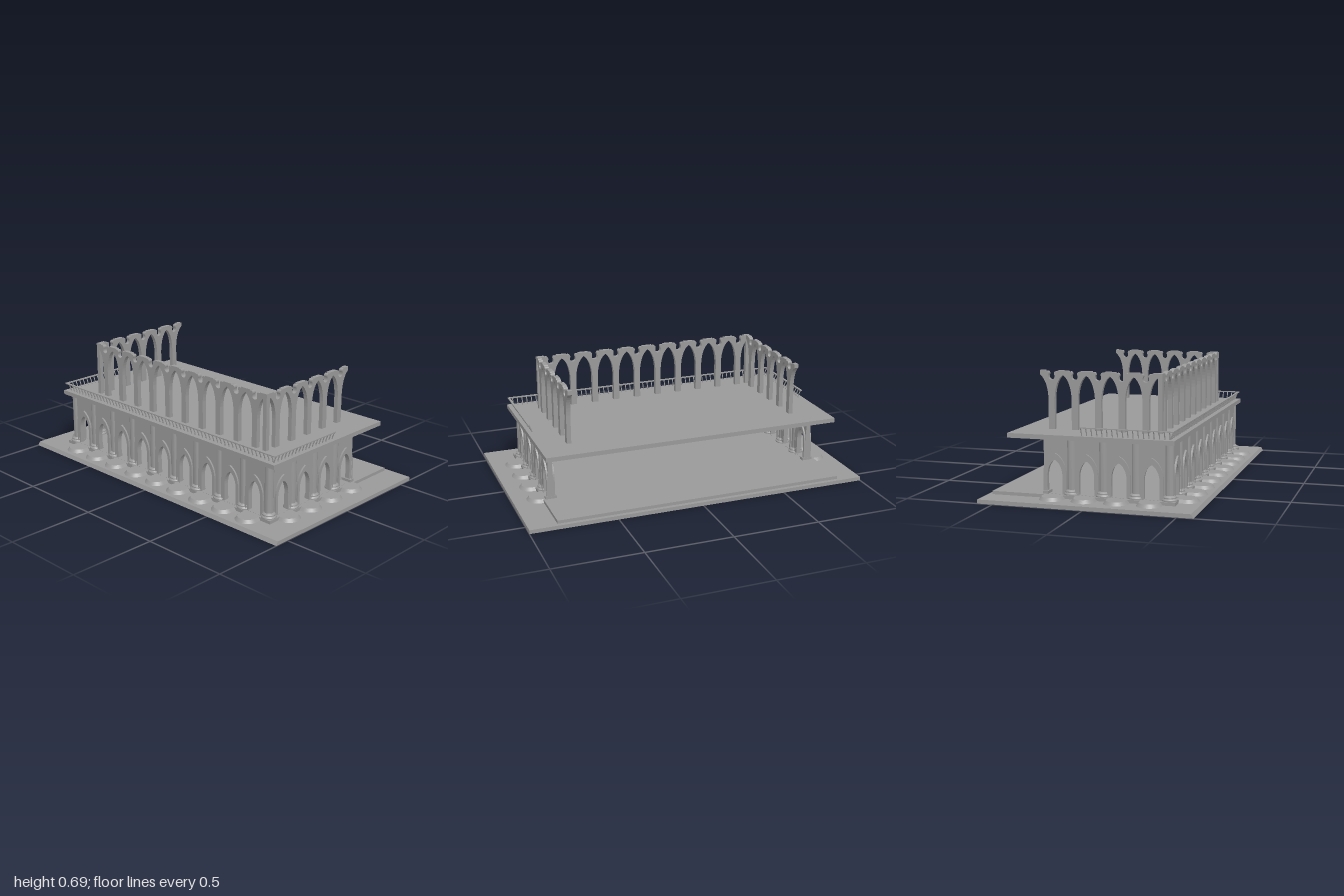
import * as THREE from 'three';
import { toCreasedNormals } from 'three/addons/utils/BufferGeometryUtils.js';

const mat = new THREE.MeshStandardMaterial({ color: 0x999999 });
const shellMat = new THREE.MeshStandardMaterial({ color: 0x999999, side: THREE.DoubleSide });

function add(parent, name, geometry, x = 0, y = 0, z = 0, material = mat) {
  const mesh = new THREE.Mesh(geometry, material);
  mesh.name = name;
  mesh.position.set(x, y, z);
  parent.add(mesh);
  return mesh;
}

// box given by its limits on each axis
function slab(parent, name, x0, x1, y0, y1, z0, z1) {
  return add(parent, name, new THREE.BoxGeometry(x1 - x0, y1 - y0, z1 - z0),
    (x0 + x1) / 2, (y0 + y1) / 2, (z0 + z1) / 2);
}

function extrude(shape, z0, z1) {
  return new THREE.ExtrudeGeometry(shape, { depth: z1 - z0, bevelEnabled: false, curveSegments: 10 })
    .translate(0, 0, z0);
}

// slightly pointed arch outline standing on y0
function archOutline(Type, x, w, y0, spring, apex) {
  const h = apex - spring, p = new Type();
  p.moveTo(x - w, y0);
  p.lineTo(x - w, spring);
  p.bezierCurveTo(x - w, spring + 0.55 * h, x - 0.45 * w, apex - 0.1 * h, x, apex);
  p.bezierCurveTo(x + 0.45 * w, apex - 0.1 * h, x + w, spring + 0.55 * h, x + w, spring);
  p.lineTo(x + w, y0);
  p.closePath();
  return p;
}

// arch-shaped band showing on both faces of the wall
function archBand(outer, inner, halfDepth) {
  const shape = archOutline(THREE.Shape, 0, ...outer);
  shape.holes.push(archOutline(THREE.Path, 0, ...inner));
  return extrude(shape, -halfDepth, halfDepth);
}

const PLINTH = 0.022, SEAT = 0.0212, FLOOR = 0.04, DECK = 0.34, TOP = 0.365, BAY = 0.1783;

const hoodGeo = archBand([0.064, FLOOR, 0.15, 0.262], [0.053, FLOOR + 0.0005, 0.145, 0.243], 0.024);
const trimGeo = archBand([0.055, FLOOR, 0.145, 0.245], [0.042, FLOOR + 0.0005, 0.138, 0.224], 0.019);

// round column with a stepped, flared foot
const columnGeo = toCreasedNormals(new THREE.LatheGeometry(
  [[0.043, FLOOR], [0.043, 0.046], [0.037, 0.054], [0.037, 0.06], [0.0245, 0.068], [0.0245, DECK]]
    .map(([r, y]) => new THREE.Vector2(r, y)), 20), 0.5);

// hollow plinth, open below, one long edge sloped
function plinthGeometry() {
  const corners = [];
  for (const [y, left] of [[0, -0.587], [PLINTH, -0.575]])
    corners.push(left, y, 1, 0.587, y, 1, 0.587, y, -1, left, y, -1);
  const index = [4, 5, 6, 4, 6, 7];
  for (let i = 0; i < 4; i++) {
    const j = (i + 1) % 4;
    index.push(i, j, j + 4, i, j + 4, i + 4);
  }
  const g = new THREE.BufferGeometry();
  g.setAttribute('position', new THREE.Float32BufferAttribute(corners, 3));
  g.setIndex(index);
  return toCreasedNormals(g, 0.1);
}

// rounded doorstep, sloping out to the plinth, flat underneath
function stepGeometry(reach) {
  const r = 0.053, s = new THREE.Shape();
  s.moveTo(-r, 0);
  s.lineTo(r, 0);
  s.lineTo(r, reach);
  s.absarc(0, reach, r, 0, Math.PI, false);
  s.closePath();
  const g = new THREE.ExtrudeGeometry(s, {
    depth: 0.001, bevelThickness: 0.018, bevelSize: 0.014, bevelSegments: 1, curveSegments: 16,
  }).rotateX(Math.PI / 2).translate(0, 0.022, 0);
  const p = g.attributes.position;
  for (let i = 0; i < p.count; i++) p.setY(i, Math.max(p.getY(i), SEAT));
  g.computeVertexNormals();
  return g;
}

// thin arcaded wall along local x, columns on its axis, steps towards local +z
function arcadeWall(name, from, to, arches, columns, reach) {
  const g = new THREE.Group();
  g.name = name;
  const shape = new THREE.Shape();
  shape.moveTo(from, FLOOR - 0.005);
  shape.lineTo(to, FLOOR - 0.005);
  shape.lineTo(to, DECK);
  shape.lineTo(from, DECK);
  shape.closePath();
  for (const x of arches) shape.holes.push(archOutline(THREE.Path, x, 0.046, FLOOR, 0.138, 0.228));
  add(g, 'wall', extrude(shape, -0.014, 0.014));
  const step = stepGeometry(reach);
  for (const x of arches) {
    add(g, 'archHood', hoodGeo, x);
    add(g, 'archTrim', trimGeo, x);
    add(g, 'doorStep', step, x);
  }
  for (const x of columns) add(g, 'column', columnGeo, x);
  return g;
}

// one upper arcade unit: a post branching into two half arches, keyhole notch above
function openArchGeometry(width) {
  const h = width / 2, p = new THREE.Path();
  p.moveTo(0.018, TOP - 0.003);
  p.lineTo(0.0175, 0.53);
  p.bezierCurveTo(0.02, 0.59, 0.035, 0.64, h, 0.662);
  p.lineTo(h, 0.685);
  p.lineTo(0.037, 0.685);
  p.lineTo(0.034, 0.678);
  p.quadraticCurveTo(0.026, 0.684, 0.018, 0.678);
  p.quadraticCurveTo(0.012, 0.67, 0.017, 0.66);
  p.quadraticCurveTo(0.021, 0.637, 0, 0.636);
  const right = p.getPoints(8);
  const left = right.slice(0, -1).reverse().map(v => new THREE.Vector2(-v.x, v.y));
  return extrude(new THREE.Shape([...right, ...left]), -0.0125, 0.0125);
}

function openArcade(name, count, width) {
  const g = new THREE.Group();
  g.name = name;
  const geo = openArchGeometry(width);
  for (let i = 0; i < count; i++) add(g, 'openArch', geo, (i - (count - 1) / 2) * width);
  return g;
}

// balustrade: outside faces local +z, balusters curve outward to the rail
const balusterGeo = new THREE.TubeGeometry(new THREE.QuadraticBezierCurve3(
  new THREE.Vector3(0, TOP - 0.002, -0.017), new THREE.Vector3(0, 0.385, -0.014),
  new THREE.Vector3(0, 0.408, 0)), 5, 0.003, 6);

function railing(name, from, to, first, last) {
  const g = new THREE.Group();
  g.name = name;
  slab(g, 'handrail', from, to, 0.406, 0.412, -0.006, 0.006);
  const n = Math.round((last - first) / 0.0287);
  for (let i = 0; i <= n; i++) add(g, 'baluster', balusterGeo, first + (last - first) * i / n);
  return g;
}

function place(parent, g, x, z, turn = 0) {
  g.position.set(x, 0, z);
  g.rotation.y = turn;
  parent.add(g);
}

export function createModel() {
  const model = new THREE.Group();
  model.name = 'arcadedBuilding';
  const LEFTWARD = -Math.PI / 2, BACK = Math.PI;

  // plinth and the floor upon it
  add(model, 'plinth', plinthGeometry(), 0, 0, 0, shellMat);
  slab(model, 'floor', -0.456, 0.563, SEAT, FLOOR, -0.857, 0.839);

  // lower arcades: one long wall and two short ones
  const range = (n, start) => Array.from({ length: n }, (_, i) => start + i * BAY);
  const neg = a => a.map(x => -x);
  const longArches = range(9, -4 * BAY), longColumns = range(10, -4.5 * BAY);
  place(model, arcadeWall('longWall', -0.8, 0.8, longArches, longColumns, 0.073), -0.415, -0.007, LEFTWARD);
  const shortArches = range(4, -0.323), shortColumns = range(3, -0.234);
  place(model, arcadeWall('frontWall', -0.415, 0.276, shortArches, shortColumns, 0.058), 0, 0.796);
  place(model, arcadeWall('backWall', -0.276, 0.415, neg(shortArches), neg(shortColumns), 0.072), 0, -0.81, BACK);
  // feet of the short walls' open ends
  for (const z of [0.796, -0.81])
    slab(model, 'wallFoot', 0.247, 0.277, FLOOR, 0.055, z - 0.032, z + 0.032);

  // deck
  slab(model, 'deck', -0.457, 0.463, DECK, TOP, -0.878, 0.863);

  // upper open arcades
  place(model, openArcade('longOpenArcade', 10, 0.1358), -0.328, 0.005, LEFTWARD);
  place(model, openArcade('frontOpenArcade', 5, 0.1328), 0.0165, 0.6885);
  place(model, openArcade('backOpenArcade', 5, 0.1328), 0.0165, -0.6715, BACK);
  // corner posts where the arcades meet
  for (const z of [0.6885, -0.6715])
    slab(model, 'cornerPost', -0.3405, -0.3155, TOP - 0.003, 0.685, z - 0.0125, z + 0.0125);

  // balustrade around three sides
  place(model, railing('longRailing', -0.872, 0.859, -0.842, 0.831), -0.444, 0, LEFTWARD);
  place(model, railing('frontRailing', -0.45, 0.057, -0.427, 0.053), 0, 0.853);
  place(model, railing('backRailing', -0.057, 0.45, -0.053, 0.427), 0, -0.866, BACK);

  return model;
}
